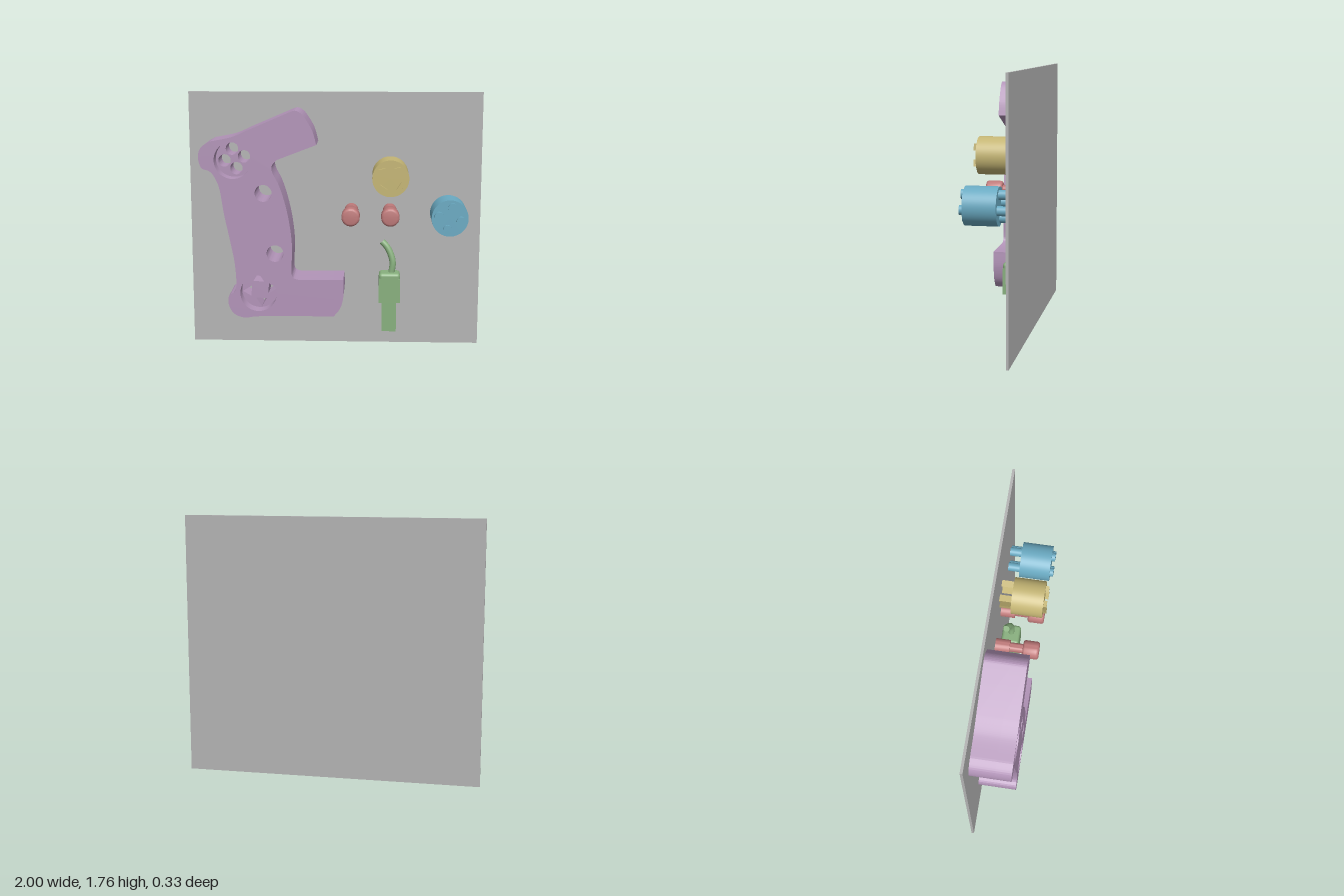
import * as THREE from 'three';
import { toCreasedNormals } from 'three/addons/utils/BufferGeometryUtils.js';
import { RoundedBoxGeometry } from 'three/addons/geometries/RoundedBoxGeometry.js';

const material = (name, color) => {
  const m = new THREE.MeshStandardMaterial({ color });
  m.name = name;
  return m;
};

const BACK = -0.148;   // front face of the board
const FLOOR = 0.015;   // bottom of the round sockets
const FRONT = 0.116;   // front face of the frame
const TIP = 0.165;     // front of the plug pins
const v2 = (list) => list.map(([x, y]) => new THREE.Vector2(x, y));

export function createModel() {
  const model = new THREE.Group();
  const mats = {
    board: material('board grey', 0xb4b4b4),
    frame: material('frame purple', 0xb294b8),
    yellow: material('plug yellow', 0xc4b574),
    blue: material('plug blue', 0x6aaac2),
    red: material('peg red', 0xbf7a7a),
    green: material('connector green', 0x88b07e),
  };

  const add = (parent, name, geometry, mat, x = 0, y = 0, z = 0) => {
    const mesh = new THREE.Mesh(geometry, mat);
    mesh.name = name;
    mesh.position.set(x, y, z);
    parent.add(mesh);
    return mesh;
  };
  const group = (name, x = 0, y = 0) => {
    const g = new THREE.Group();
    g.name = name;
    g.position.set(x, y, 0);
    model.add(g);
    return g;
  };
  // Extrusion between two depths, with sharp corners and smooth curves
  const slab = (shape, z0, z1) => toCreasedNormals(
    new THREE.ExtrudeGeometry(shape, { depth: z1 - z0, bevelEnabled: false, curveSegments: 24 })
      .translate(0, 0, z0), 0.5);
  const rod = (r, z0, z1, sides) => new THREE.CylinderGeometry(r, r, z1 - z0, sides)
    .rotateX(Math.PI / 2).translate(0, 0, (z0 + z1) / 2);
  const circle = (x, y, r) => new THREE.Path().absarc(x, y, r, 0, Math.PI * 2, true);
  // The same points turned by quarter turns
  const quarter = (points, i) => v2(points).map((p) =>
    p.rotateAround(new THREE.Vector2(), -i * Math.PI / 2));

  // Board
  add(model, 'board', new THREE.BoxGeometry(2, 1.76, 0.017), mats.board, 0, 0.88, BACK - 0.0085);

  // Frame outline
  const outline = () => {
    const s = new THREE.Shape();
    s.moveTo(-0.82, 1.45);
    s.splineThru(v2([[-0.88, 1.41], [-0.9, 1.345], [-0.88, 1.275], [-0.825, 1.25], [-0.79, 1.205],
      [-0.76, 1.125], [-0.735, 0.965], [-0.7, 0.795], [-0.67, 0.635], [-0.66, 0.5], [-0.67, 0.43],
      [-0.71, 0.4], [-0.715, 0.34], [-0.68, 0.275], [-0.61, 0.246], [-0.525, 0.255], [-0.39, 0.26]]));
    s.lineTo(0, 0.26);
    s.splineThru(v2([[0.045, 0.32], [0.067, 0.41], [0.065, 0.515]]));
    s.lineTo(-0.24, 0.515);
    s.splineThru(v2([[-0.275, 0.53], [-0.285, 0.58], [-0.28, 0.74], [-0.295, 0.89], [-0.325, 1.035],
      [-0.365, 1.16], [-0.405, 1.24], [-0.41, 1.29], [-0.375, 1.33]]));
    s.lineTo(-0.115, 1.43);
    s.splineThru(v2([[-0.14, 1.52], [-0.185, 1.6], [-0.22, 1.64], [-0.255, 1.655], [-0.29, 1.645]]));
    s.lineTo(-0.57, 1.525);
    s.splineThru(v2([[-0.675, 1.48], [-0.82, 1.45]]));
    // Peg holes go through the whole frame
    s.holes.push(circle(-0.47, 1.105, 0.057), circle(-0.395, 0.695, 0.057));
    return s;
  };

  // Frame: front layer with round sockets, back layer with the pin holes
  const frame = group('frame');
  const upper = new THREE.Vector2(-0.672, 1.325);
  const lower = new THREE.Vector2(-0.51, 0.417);
  const front = outline();
  front.holes.push(circle(upper.x, upper.y, 0.124), circle(lower.x, lower.y, 0.124));
  const back = outline();
  for (let i = 0; i < 4; i++) {
    const [pin] = quarter([[-0.014, 0.066]], i);
    back.holes.push(circle(upper.x + pin.x, upper.y + pin.y, 0.042));
    const corners = quarter([[-0.011, 0.119], [0.029, 0.056], [-0.045, 0.061]], i);
    back.holes.push(new THREE.Path(corners.map((p) => p.add(lower))));
  }
  add(frame, 'frameFront', slab(front, FLOOR, FRONT), mats.frame);
  add(frame, 'frameBack', slab(back, BACK, FLOOR), mats.frame);

  // Yellow plug with triangular pins
  const yellow = group('trianglePinPlug', 0.377, 1.212);
  add(yellow, 'plugBody', rod(0.122, -0.067, 0.142, 64), mats.yellow);
  for (let i = 0; i < 4; i++) {
    const pin = new THREE.Shape(quarter([[-0.08, 0.064], [-0.07, 0.022], [-0.037, 0.07]], i));
    add(yellow, 'trianglePin', slab(pin, BACK, TIP), mats.yellow);
  }

  // Blue plug with round pins
  const blue = group('roundPinPlug', 0.772, 0.949);
  add(blue, 'plugBody', rod(0.122, -0.067, 0.142, 64), mats.blue);
  for (let i = 0; i < 4; i++) {
    const [p] = quarter([[0.016, 0.073]], i);
    add(blue, 'roundPin', rod(0.03, BACK, TIP, 32), mats.blue, p.x, p.y);
  }

  // Red pegs: wide head, thin neck, round foot
  const pegProfile = v2([[0, BACK], [0.047, BACK], [0.047, -0.05], [0.032, -0.05], [0.032, 0.04],
    [0.05, 0.04], [0.057, 0.044], [0.061, 0.054], [0.061, 0.132], [0.059, 0.142], [0.053, 0.148],
    [0.044, 0.15], [0, 0.15]]);
  const pegGeometry = toCreasedNormals(
    new THREE.LatheGeometry(pegProfile, 40).rotateX(Math.PI / 2), 0.7);
  for (const x of [0.113, 0.377]) add(model, 'peg', pegGeometry, mats.red, x, 0.95);

  // Green connector: stem, housing with rounded top, bent cable
  const connector = group('connector');
  add(connector, 'stem', new THREE.BoxGeometry(0.1, 0.22, 0.08), mats.green, 0.376, 0.22, -0.084);
  add(connector, 'housing', new THREE.BoxGeometry(0.146, 0.17, 0.128), mats.green, 0.378, 0.405, -0.084);
  add(connector, 'housingTop', new RoundedBoxGeometry(0.146, 0.128, 0.128, 4, 0.022),
    mats.green, 0.378, 0.463, -0.084);
  const path = new THREE.CatmullRomCurve3([[0.39, 0.51, -0.084], [0.4, 0.59, -0.084],
    [0.388, 0.645, -0.09], [0.36, 0.7, -0.099], [0.326, 0.735, -0.108]]
    .map((p) => new THREE.Vector3(...p)));
  add(connector, 'cable', new THREE.TubeGeometry(path, 32, 0.022, 20), mats.green);
  const end = path.getPoint(1);
  const cap = add(connector, 'cableEnd', new THREE.CircleGeometry(0.022, 20), mats.green, end.x, end.y, end.z);
  cap.quaternion.setFromUnitVectors(new THREE.Vector3(0, 0, 1), path.getTangent(1));

  return model;
}
